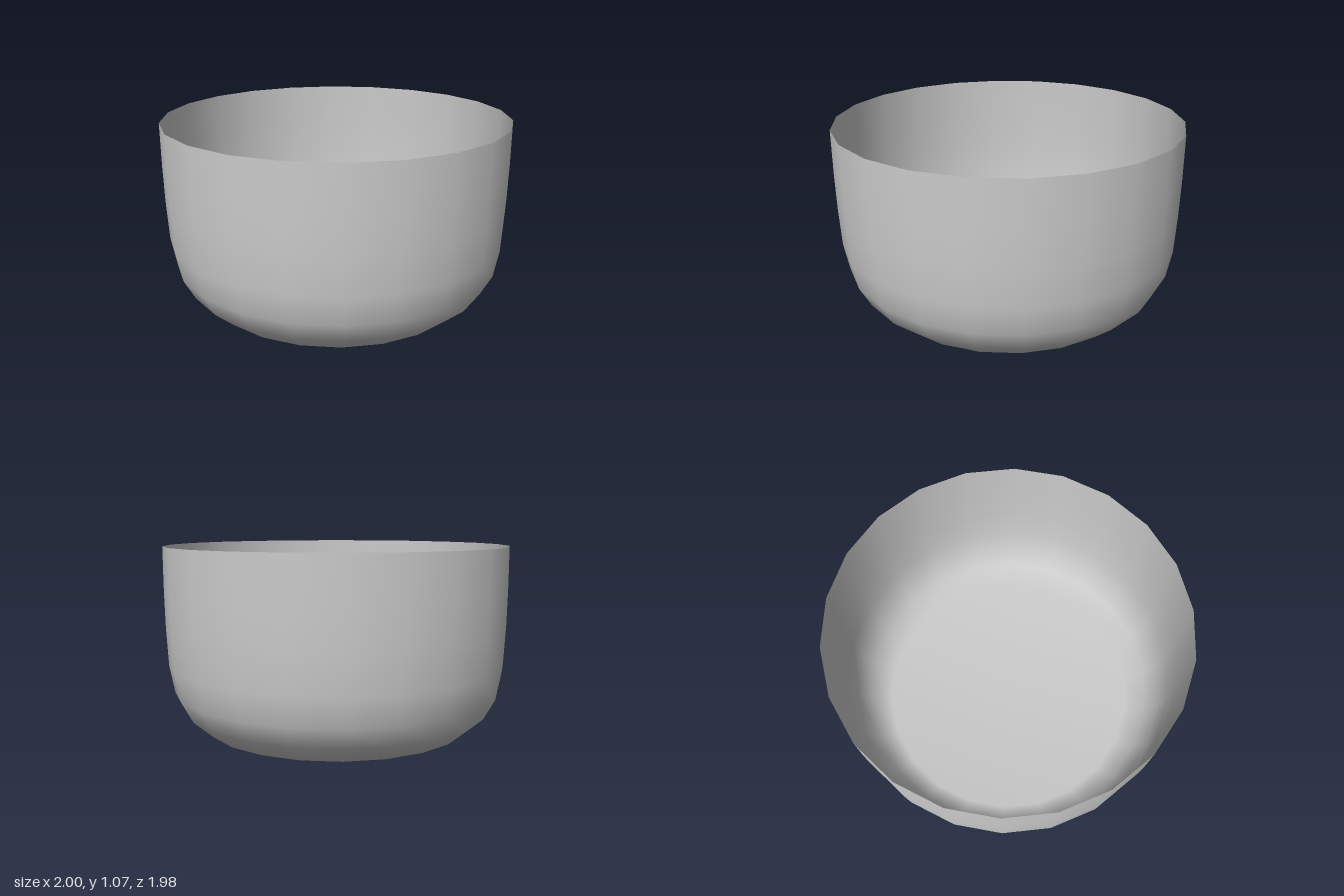
import * as THREE from 'three';

const SIDES = 22;

// Half profile as [radius, height], from the centre of the floor up to the rim
const PROFILE = [
  [0, 0], [0.775, 0], [0.89, 0.1], [0.955, 0.22],
  [0.985, 0.38], [0.996, 0.6], [1, 0.81], [1, 1.065],
];

export function createModel() {
  const group = new THREE.Group();
  group.name = 'bowl';

  // Thin open shell, turned so that corners lie on the x axis
  const points = PROFILE.map(([r, y]) => new THREE.Vector2(r, y));
  const shell = new THREE.Mesh(
    new THREE.LatheGeometry(points, SIDES, Math.PI / 2),
    new THREE.MeshStandardMaterial({ color: 0xcccccc, side: THREE.DoubleSide }),
  );
  shell.name = 'bowlShell';
  group.add(shell);

  return group;
}
